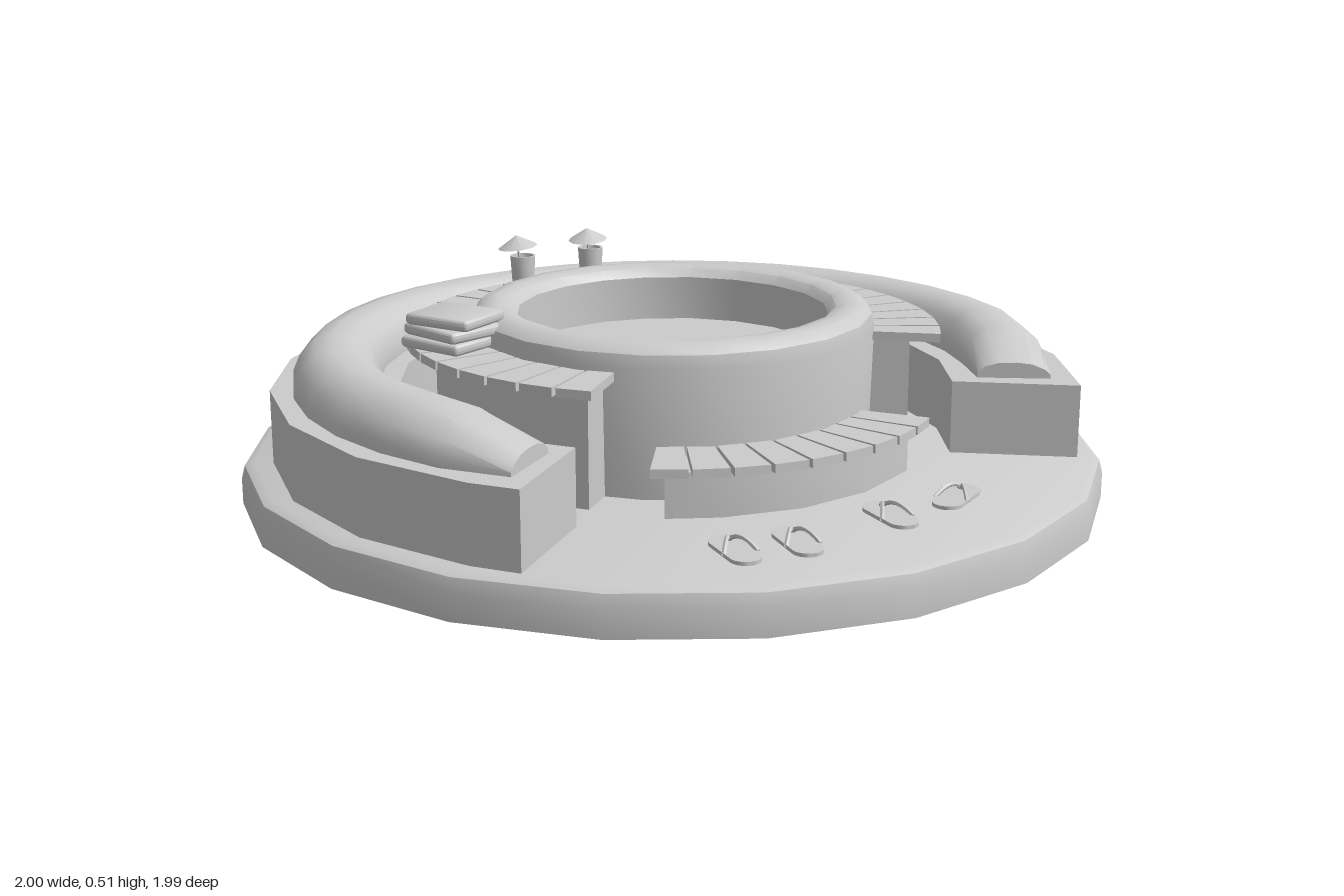
import * as THREE from 'three';
import { toCreasedNormals } from 'three/addons/utils/BufferGeometryUtils.js';
import { RoundedBoxGeometry } from 'three/addons/geometries/RoundedBoxGeometry.js';

const material = new THREE.MeshStandardMaterial({ color: 0xcccccc, side: THREE.DoubleSide });
const rad = THREE.MathUtils.degToRad;

function add(parent, name, geometry, x = 0, y = 0, z = 0) {
  const mesh = new THREE.Mesh(toCreasedNormals(geometry, 0.62), material);
  mesh.name = name;
  mesh.position.set(x, y, z);
  parent.add(mesh);
  return mesh;
}

// Angles in degrees: 0 is +x, 90 is +z (front), 180 is -x, 270 is the back.
function ringSector(r0, r1, y0, y1, a0, a1, step = 18) {
  const angles = [a0];
  for (let a = (Math.floor(a0 / step) + 1) * step; a < a1 - 0.01; a += step) angles.push(a);
  angles.push(a1);
  const at = (r) => (a) => new THREE.Vector2(r * Math.cos(rad(a)), r * Math.sin(rad(a)));
  const outline = [...angles.map(at(r1)), ...angles.slice().reverse().map(at(r0))];
  const g = new THREE.ExtrudeGeometry(new THREE.Shape(outline), { depth: y1 - y0, bevelEnabled: false });
  return g.rotateX(Math.PI / 2).translate(0, y1, 0);
}

function lathe(points, segments, start = 0, length = Math.PI * 2) {
  return new THREE.LatheGeometry(points.map((p) => new THREE.Vector2(...p)), segments, start, length);
}

// Separate tapered planks, fanned between two angles
function addPlanks(parent, name, count, a0, a1, y0, y1) {
  const group = new THREE.Group();
  group.name = name;
  const pitch = (a1 - a0) / count;
  for (let i = 0; i < count; i++) {
    const a = a0 + i * pitch;
    add(group, 'plank', ringSector(0.44, 0.62, y0, y1, a + 0.4, a + pitch - 0.4, 360));
  }
  parent.add(group);
}

// Curved cushion: one rounded section swept round, sinking at both ends
function cushionGeometry(a0, a1, count) {
  const section = [[0.685, 0], [0.685, 0.035], [0.705, 0.075], [0.74, 0.1], [0.79, 0.105],
    [0.83, 0.095], [0.865, 0.06], [0.88, 0.025], [0.88, 0]];
  const n = section.length, positions = [], index = [];
  for (let i = 0; i <= count; i++) {
    const a = rad(a0 + ((a1 - a0) * i) / count);
    const edge = Math.min(i, count - i);
    const height = edge === 0 ? 0.35 : edge === 1 ? 0.9 : 1;
    const width = edge === 0 ? 0.86 : 1;
    for (const [r, y] of section) {
      const rr = 0.78 + (r - 0.78) * width;
      positions.push(rr * Math.cos(a), 0.27 + y * height, rr * Math.sin(a));
    }
  }
  for (let i = 0; i < count; i++) {
    for (let j = 0; j < n; j++) {
      const k = (j + 1) % n, p = i * n, q = p + n;
      index.push(p + j, q + j, p + k, q + j, q + k, p + k);
    }
  }
  for (let j = 1; j < n - 1; j++) {
    const e = count * n;
    index.push(0, j, j + 1, e, e + j + 1, e + j);
  }
  const g = new THREE.BufferGeometry();
  g.setAttribute('position', new THREE.Float32BufferAttribute(positions, 3));
  g.setIndex(index);
  g.computeVertexNormals();
  return g;
}

// Sandal with its toe towards -z
function addSandal(parent, x, z, turn) {
  const sandal = new THREE.Group();
  sandal.name = 'sandal';
  const outline = new THREE.Shape();
  outline.absarc(0, 0.045, 0.042, 0, Math.PI, false);
  outline.absarc(0, -0.05, 0.033, Math.PI, Math.PI * 2, false);
  const sole = new THREE.ExtrudeGeometry(outline, { depth: 0.008, bevelEnabled: false, curveSegments: 8 });
  add(sandal, 'sole', sole.rotateX(-Math.PI / 2));
  for (const side of [-1, 1]) {
    const curve = new THREE.QuadraticBezierCurve3(new THREE.Vector3(0, 0.008, -0.05),
      new THREE.Vector3(side * 0.012, 0.042, -0.02), new THREE.Vector3(side * 0.036, 0.006, 0.025));
    add(sandal, 'strap', new THREE.TubeGeometry(curve, 6, 0.005, 5));
  }
  sandal.position.set(x, 0.1, z);
  sandal.rotation.y = turn;
  parent.add(sandal);
}

// Cup with a straw and a paper parasol
function addDrink(parent, x, z, turn) {
  const drink = new THREE.Group();
  drink.name = 'drink';
  add(drink, 'cup', lathe([[0, 0], [0.027, 0], [0.032, 0.08], [0.027, 0.08], [0.025, 0.065], [0, 0.065]], 12));
  const parasol = new THREE.Group();
  parasol.name = 'parasol';
  add(parasol, 'stick', new THREE.CylinderGeometry(0.003, 0.003, 0.12, 5), 0, 0.07, 0);
  add(parasol, 'canopy', new THREE.ConeGeometry(0.05, 0.03, 10, 1, true), 0, 0.118, 0);
  parasol.rotation.z = 0.12;
  drink.add(parasol);
  drink.position.set(x, 0.38, z);
  drink.rotation.y = turn;
  parent.add(drink);
}

export function createModel() {
  const model = new THREE.Group();
  model.name = 'hotTub';

  // Round deck, with a skirt that is open at the back
  add(model, 'deck', lathe([[0.992, 0.09], [0.972, 0.1], [0, 0.1]], 20));
  add(model, 'deckSkirt', lathe([[1, 0], [1, 0.06], [0.992, 0.09], [0.972, 0.1]], 14, rad(-108), rad(252)));

  // Tub shell with rounded rim, and water
  add(model, 'tub', lathe([[0.46, 0.1], [0.468, 0.39], [0.462, 0.42], [0.44, 0.438], [0.41, 0.442],
    [0.38, 0.435], [0.362, 0.415], [0.36, 0.25]], 20));
  add(model, 'water', new THREE.CircleGeometry(0.361, 20).rotateX(-Math.PI / 2), 0, 0.31, 0);

  // Curved bench, its base cut away at the back
  const bench = new THREE.Group();
  bench.name = 'bench';
  bench.position.set(0.01, 0, 0.02);
  add(bench, 'benchSeat', ringSector(0.64, 0.93, 0.17, 0.27, 101, 360));
  add(bench, 'benchBaseRight', ringSector(0.64, 0.93, 0.1, 0.17, 101, 226));
  add(bench, 'benchBaseLeft', ringSector(0.64, 0.93, 0.1, 0.17, 308, 360));
  add(bench, 'benchInnerWall', ringSector(0.64, 0.66, 0.1, 0.17, 226, 308));
  add(bench, 'cushion', cushionGeometry(104, 356.5, 24));
  model.add(bench);

  // High shelf round the tub, and the low step in front
  add(model, 'shelfSupport', ringSector(0.45, 0.55, 0.1, 0.36, 101, 360));
  addPlanks(model, 'shelf', 33, 97.5, 362, 0.36, 0.38);
  add(model, 'stepSupport', ringSector(0.45, 0.58, 0.1, 0.2, 17, 84));
  addPlanks(model, 'step', 9, 14, 87, 0.2, 0.22);

  // Folded towels
  const towels = new THREE.Group();
  towels.name = 'towels';
  for (const [i, turn] of [-0.5, -0.62, -0.4].entries()) {
    const towel = add(towels, 'towel', new RoundedBoxGeometry(0.17, 0.027, 0.15, 2, 0.012),
      -0.46 + i * 0.006, 0.394 + i * 0.027, 0.28);
    towel.rotation.y = turn;
  }
  model.add(towels);

  addDrink(model, -0.43, -0.36, 0.4);
  addDrink(model, -0.28, -0.49, 1.2);

  addSandal(model, 0.23, 0.755, 0.45);
  addSandal(model, 0.35, 0.69, 0.4);
  addSandal(model, 0.53, 0.5, 0.5);
  addSandal(model, 0.66, 0.36, -0.3);
  return model;
}
